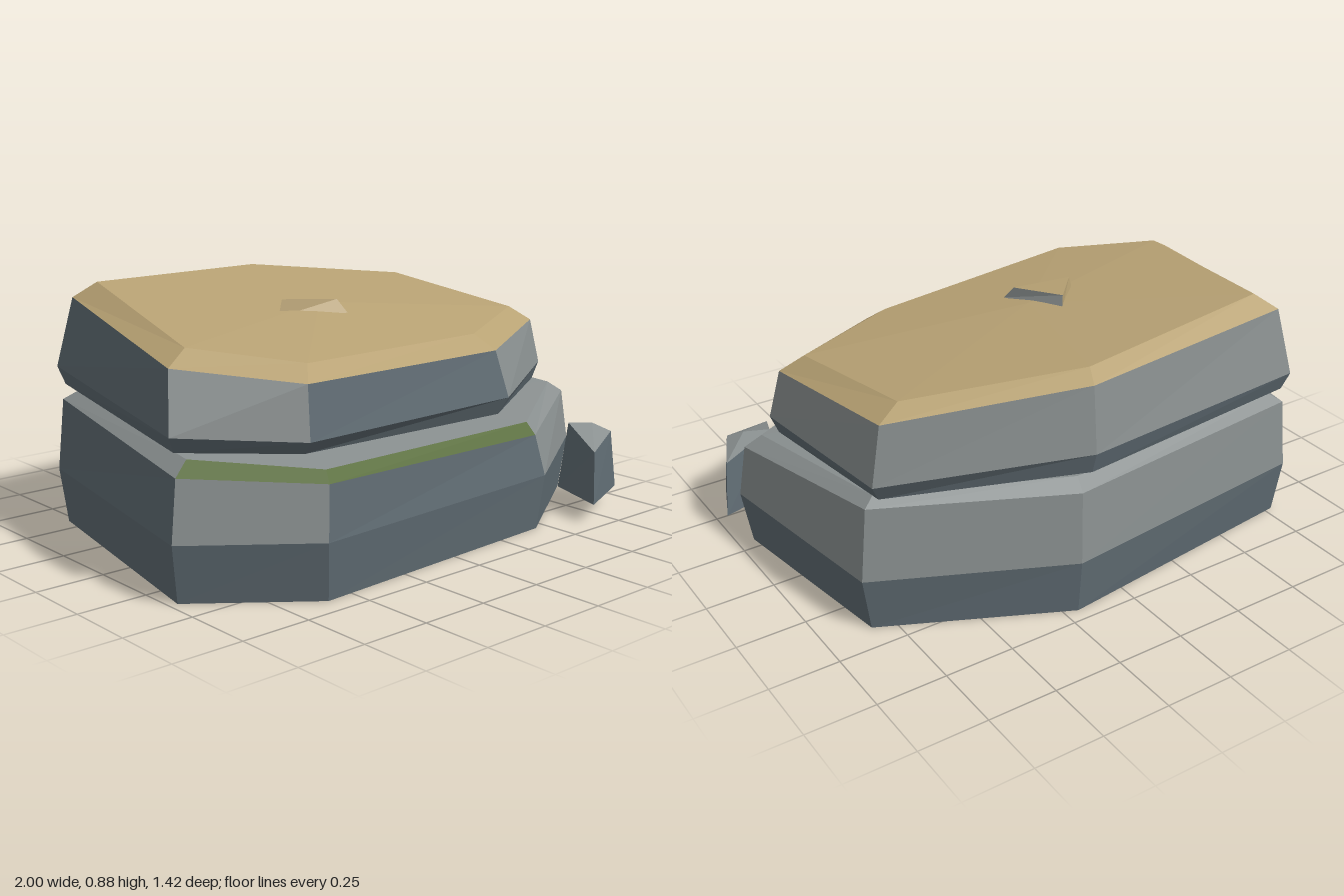
import * as THREE from 'three';

const mat = (name, color) => {
  const m = new THREE.MeshStandardMaterial({ color });
  m.name = name;
  m.flatShading = true;
  return m;
};

export function createModel() {
  const MATS = [
    mat('greyStone', 0x8a9090), mat('slateStone', 0x5f6b72), mat('sand', 0xb8a274),
    mat('moss', 0x5a6e3c), mat('earth', 0x4a3a30),
  ];
  const GREY = 0, SLATE = 1, SAND = 2, MOSS = 3, EARTH = 4;

  // Lofts rings of [x, y, z] corners; paint(band, side) picks each side's colour.
  function loft(name, rings, paint, bottom, top, peak) {
    const faces = MATS.map(() => []);
    const n = rings[0].length;
    const centre = (r) => [0, 1, 2].map((k) => r.reduce((s, p) => s + p[k], 0) / n);
    const last = rings[rings.length - 1];
    const low = centre(rings[0]), high = peak || centre(last);
    for (let i = 0; i < n; i++) {
      const j = (i + 1) % n;
      for (let b = 0; b < rings.length - 1; b++) {
        const lo = rings[b], hi = rings[b + 1];
        faces[paint(b, i)].push(lo[i], lo[j], hi[j], lo[i], hi[j], hi[i]);
      }
      faces[bottom].push(low, rings[0][j], rings[0][i]);
      faces[top].push(high, last[i], last[j]);
    }
    const geo = new THREE.BufferGeometry();
    let start = 0;
    faces.forEach((f, m) => {
      if (f.length) geo.addGroup(start, f.length, m);
      start += f.length;
    });
    geo.setAttribute('position', new THREE.Float32BufferAttribute(faces.flat(2), 3));
    geo.computeVertexNormals();
    const mesh = new THREE.Mesh(geo, MATS);
    mesh.name = name;
    return mesh;
  }

  // Corners run left, front, right, back; the left and front faces are slate.
  const darkSide = (i) => i === 1 || i === 6;

  // Lower slab: darker base band, upright sides, mossy front bevel
  const lowerSlab = loft('lowerSlab', [
    [[-.97, 0, .38], [-.6, 0, .67], [.45, 0, .61], [.94, 0, .3], [.83, 0, -.4], [.2, 0, -.7], [-.78, 0, -.58]],
    [[-1, .2, .4], [-.62, .2, .695], [.465, .2, .63], [.97, .2, .31], [.86, .2, -.41], [.2, .2, -.715], [-.8, .2, -.6]],
    [[-.97, .405, .385], [-.6, .38, .675], [.435, .35, .605], [.94, .39, .3], [.83, .465, -.4], [.19, .46, -.695], [-.78, .46, -.585]],
    [[-.91, .45, .36], [-.58, .415, .635], [.42, .395, .575], [.88, .43, .28], [.79, .495, -.38], [.18, .5, -.65], [-.74, .49, -.55]],
  ], (b, i) => {
    if (b === 0) return SLATE;
    if (b === 2) return i < 2 ? MOSS : GREY;
    return darkSide(i) ? SLATE : GREY;
  }, EARTH, GREY);

  // Upper slab: undercut lip, sides, sandy bevel and sloping sandy top
  const upperSlab = loft('upperSlab', [
    [[-.95, .475, .35], [-.62, .46, .58], [.34, .425, .51], [.83, .445, .24], [.79, .5, -.42], [.15, .525, -.69], [-.77, .515, -.58]],
    [[-.98, .53, .37], [-.63, .505, .62], [.36, .487, .54], [.855, .51, .25], [.82, .56, -.44], [.15, .6, -.71], [-.79, .58, -.6]],
    [[-.935, .73, .31], [-.61, .68, .585], [.33, .655, .5], [.81, .68, .24], [.78, .77, -.43], [.145, .835, -.68], [-.74, .83, -.56]],
    [[-.85, .78, .28], [-.56, .73, .525], [.29, .71, .43], [.73, .735, .2], [.69, .81, -.39], [.12, .87, -.62], [-.67, .885, -.505]],
  ], (b, i) => {
    if (b === 2) return SAND;
    return b === 0 || darkSide(i) ? SLATE : GREY;
  }, SLATE, SAND, [-.06, .81, .0]);

  // Small three-cornered chip lying on the top
  const topChip = loft('topChip', [
    [[-.29, .785, .05], [-.045, .785, .135], [-.12, .81, -.125]],
    [[-.27, .845, .045], [-.065, .832, .1], [-.14, .858, -.1]],
  ], (b, i) => (i === 1 ? GREY : SAND), SAND, SAND);

  // Loose pebble by the front corner
  const pebble = loft('pebble', [
    [[.65, .07, .71], [.915, .07, .6], [.995, .07, .395], [.74, .07, .465]],
    [[.7, .25, .665], [.895, .285, .585], [.965, .265, .43], [.765, .32, .485]],
  ], () => SLATE, EARTH, GREY, [.85, .315, .53]);

  const group = new THREE.Group();
  group.name = 'stackedStones';
  group.add(lowerSlab, upperSlab, topChip, pebble);
  return group;
}
